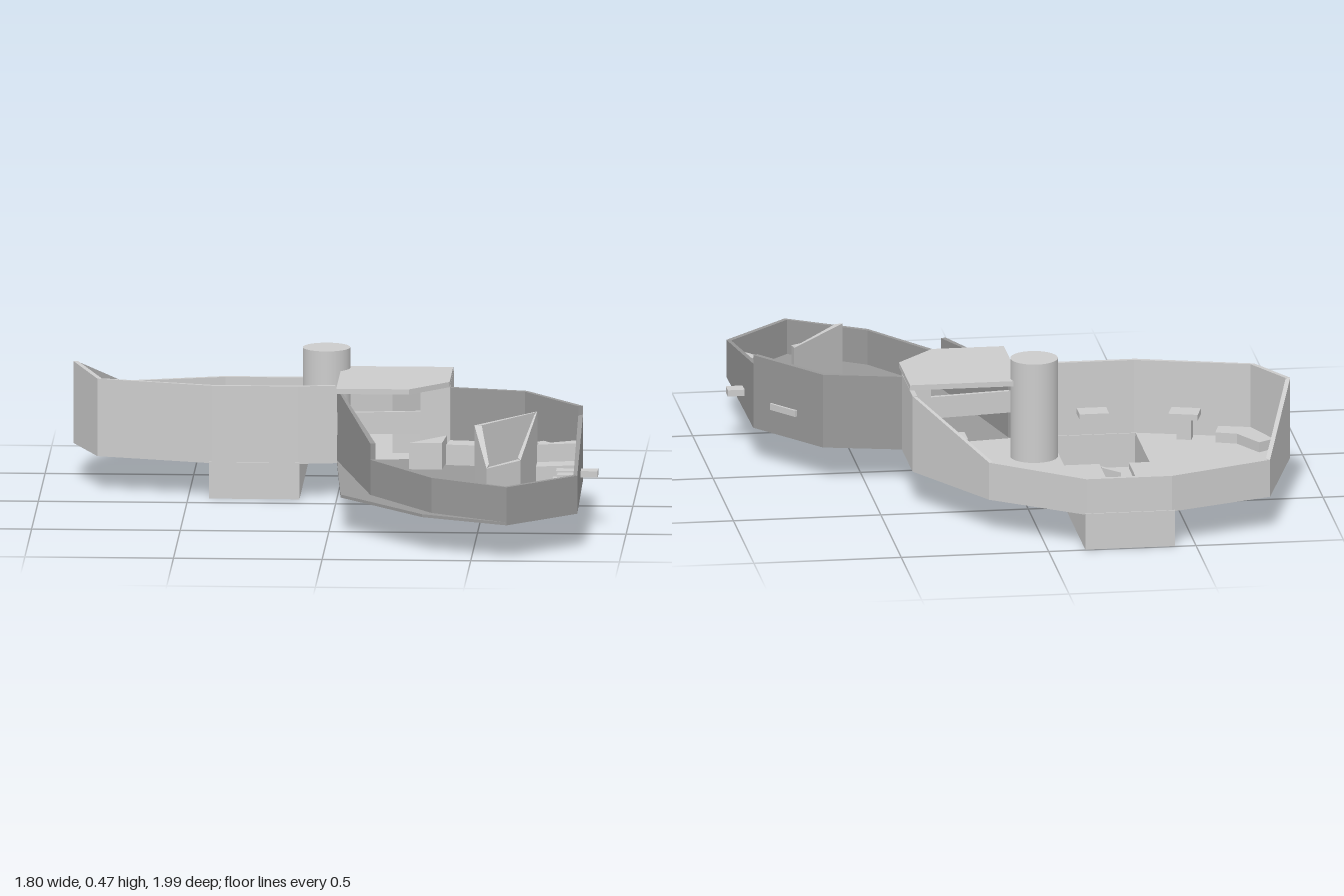
import * as THREE from 'three';

const light = new THREE.MeshStandardMaterial({ color: 0xcccccc, side: THREE.DoubleSide });
const dark = new THREE.MeshStandardMaterial({ color: 0x989898, side: THREE.DoubleSide });

export function createModel() {
  const model = new THREE.Group();
  const FLOOR = 0.13;

  const add = (name, geometry, material = light, parent = model) => {
    const mesh = new THREE.Mesh(geometry, material);
    mesh.name = name;
    parent.add(mesh);
    return mesh;
  };
  const group = (name) => {
    const g = new THREE.Group();
    g.name = name;
    model.add(g);
    return g;
  };

  // Upright prism over an [x, z] outline; the top may follow a height rule.
  const prism = (points, y0, top, hole) => {
    const flat = (list) => list.map(([x, z]) => new THREE.Vector2(x, -z));
    const shape = new THREE.Shape(flat(points));
    if (hole) shape.holes.push(new THREE.Path(flat(hole)));
    const geo = new THREE.ExtrudeGeometry(shape, { depth: 1, bevelEnabled: false });
    geo.rotateX(-Math.PI / 2);
    const p = geo.attributes.position;
    for (let i = 0; i < p.count; i++) {
      const h = typeof top === 'function' ? top(p.getX(i), p.getZ(i)) : top;
      p.setY(i, p.getY(i) > 0.5 ? h : y0);
    }
    geo.computeVertexNormals();
    return geo;
  };
  const rect = (x0, x1, z0, z1) => [[x0, z0], [x1, z0], [x1, z1], [x0, z1]];
  const turned = (x, z, w, d, angle) => rect(-w / 2, w / 2, -d / 2, d / 2).map(([u, v]) => [
    x + u * Math.cos(angle) - v * Math.sin(angle),
    z + u * Math.sin(angle) + v * Math.cos(angle),
  ]);

  // Chain of walls through [x, z, height, height after a step], thickened towards a centre.
  const walls = (name, path, centre, thick, y0, material) => {
    const g = group(name);
    const inner = path.map(([x, z]) => {
      const dx = centre[0] - x, dz = centre[1] - z, l = Math.hypot(dx, dz);
      return [x + dx / l * thick, z + dz / l * thick];
    });
    for (let i = 0; i < path.length - 1; i++) {
      const a = path[i], b = path[i + 1];
      const ha = a[3] ?? a[2], hb = b[2];
      const dx = b[0] - a[0], dz = b[1] - a[1], l2 = dx * dx + dz * dz;
      const rule = (x, z) => {
        const t = ((x - a[0]) * dx + (z - a[1]) * dz) / l2;
        return ha + (hb - ha) * THREE.MathUtils.clamp(t, 0, 1);
      };
      add('wallPanel', prism([a, b, inner[i + 1], inner[i]], y0, rule), material, g);
    }
  };

  // Rear hall: floor with a sunken opening, and its perimeter wall
  const hall = [
    [0, -0.1, 0.385], [-0.13, -0.08, 0.385], [-0.42, -0.08, 0.385], [-0.81, -0.19, 0.385],
    [-0.9, -0.42, 0.4], [-0.77, -0.865, 0.25], [-0.42, -0.99, 0.245], [-0.13, -0.99, 0.245],
    [0.17, -0.77, 0.25], [0.38, -0.41, 0.385], [0.38, -0.15, 0.385],
  ];
  const opening = [
    [-0.42, -0.97], [-0.13, -0.97], [-0.13, -0.62], [-0.25, -0.62], [-0.25, -0.44],
    [-0.13, -0.44], [-0.13, -0.1], [-0.42, -0.1], [-0.42, -0.44], [-0.35, -0.44],
    [-0.35, -0.62], [-0.42, -0.62],
  ];
  add('hallFloor', prism(hall, 0.12, FLOOR, opening));
  walls('hallWalls', hall, [-0.26, -0.5], 0.016, 0.12, light);

  // Sunken passage under the hall
  const passage = group('passage');
  add('passageFloor', prism(rect(-0.43, -0.125, -0.995, -0.075), 0, 0.008), light, passage);
  add('passageWalls', prism(rect(-0.43, -0.125, -0.995, -0.075), 0, 0.125,
    rect(-0.42, -0.13, -0.985, -0.085)), light, passage);
  for (const [x0, x1] of [[-0.437, -0.35], [-0.25, -0.118]]) {
    add('passageCover', prism(rect(x0, x1, -0.62, -0.44), 0.11, FLOOR), light, passage);
  }
  add('passageDoor', prism([[-0.31, -0.535], [-0.255, -0.47], [-0.255, -0.45], [-0.31, -0.515]],
    0.01, 0.125), light, passage);
  const steps = 8;
  for (let i = 0; i < steps; i++) {
    const x = -0.37 + i * 0.03;
    add('stair', prism(rect(x, x + 0.03, -0.985, -0.92), 0, 0.12 * (i + 1) / steps), light, passage);
  }

  // Hall fittings
  add('cornerPlatform', prism([[-0.86, -0.34], [-0.8, -0.38], [-0.74, -0.27], [-0.67, -0.245],
    [-0.69, -0.17], [-0.8, -0.2]], 0.12, 0.165));
  const tables = [[-0.575, -0.18, 0.1, 0.08, 0.28], [-0.27, -0.135, 0.1, 0.075, 0]];
  for (const [x, z, w, d, a] of tables) {
    add('tableTop', prism(turned(x, z, w, d, a), 0.205, 0.225));
  }
  add('tableStem', prism(turned(-0.575, -0.18, 0.05, 0.04, 0.28), 0.12, 0.205));
  add('sideDesk', prism(rect(-0.1, 0, -0.23, -0.105), 0.12, 0.22));
  add('hallDesk', prism(rect(0.18, 0.28, -0.32, -0.24), 0.12, 0.2));
  const pillar = add('pillar', new THREE.CylinderGeometry(0.08, 0.08, 0.355, 32));
  pillar.position.set(-0.045, 0.2975, -0.32);

  // Front room: wide floor plate, inset left walls
  const plate = [[0, -0.1], [0.38, -0.15], [0.64, -0.09], [0.84, 0.17], [0.848, 0.77],
    [0.62, 0.99], [0.33, 0.855], [0.04, 0.515]];
  add('roomFloor', prism(plate, 0.12, FLOOR), dark);
  walls('roomWalls', [
    [0, -0.1, 0.375], [0.14, 0.515, 0.305, 0.25], [0.36, 0.83, 0.25], [0.62, 0.99, 0.25],
    [0.848, 0.77, 0.25], [0.84, 0.17, 0.345, 0.375], [0.64, -0.09, 0.375], [0.38, -0.15, 0.375],
  ], [0.45, 0.4], 0.018, 0.12, dark);

  // Partition and roof joining the two rooms
  add('partitionSill', prism([[0, -0.1], [0.28, -0.137], [0.28, -0.122], [0, -0.085]], 0.22, 0.295));
  add('partitionPanel', prism([[0.28, -0.137], [0.38, -0.15], [0.38, -0.135], [0.28, -0.122]],
    0.12, 0.388));
  add('roof', prism([[0.005, -0.35], [0.38, -0.35], [0.38, -0.08], [0.25, 0.06], [0.005, 0.06]],
    0.387, 0.405));

  // Slanted enclosure inside the front room
  const slant = (x, z) => (z < 0.515 && x < 0.72 && z < 0.55 ? 0.37 : 0.26);
  walls('enclosure', [
    [0.69, 0.25, 0.37], [0.49, 0.51, 0.37], [0.54, 0.71, 0.26],
    [0.65, 0.61, 0.27], [0.69, 0.25, 0.37],
  ], [0.6, 0.5], 0.025, 0.12, light);

  // Consoles along the room's walls
  const desks = [
    [0.425, -0.065, 0.1, 0.08, 0.12], [0.57, 0, 0.09, 0.08, 0.45],
    [0.8, 0.475, 0.065, 0.05, 0], [0.795, 0.555, 0.08, 0.05, 0.03], [0.795, 0.635, 0.08, 0.045, 0.08],
  ];
  for (const [x, z, w, d, a] of desks) add('desk', prism(turned(x, z, w, d, a), 0.12, 0.2));
  add('cornerDesk', prism([[0.75, 0.78], [0.77, 0.72], [0.83, 0.69], [0.83, 0.77], [0.78, 0.82]],
    0.12, 0.19));
  add('entryDesk', prism([[0.25, 0.05], [0.37, -0.09], [0.36, 0.05]], 0.12, 0.22));
  add('rampLow', prism([[0.69, 0.27], [0.83, 0.24], [0.83, 0.32], [0.69, 0.35]], 0.12, 0.2));
  add('rampHigh', prism([[0.7, 0.25], [0.83, 0.18], [0.83, 0.24], [0.69, 0.27]], 0.12, 0.26));

  // Ledges passing through the outer wall
  add('ledge', prism(turned(0.73, 0.07, 0.12, 0.07, 0.92), 0.203, 0.225));
  add('ledge', prism(rect(0.76, 0.9, 0.36, 0.41), 0.175, 0.197));

  return model;
}
